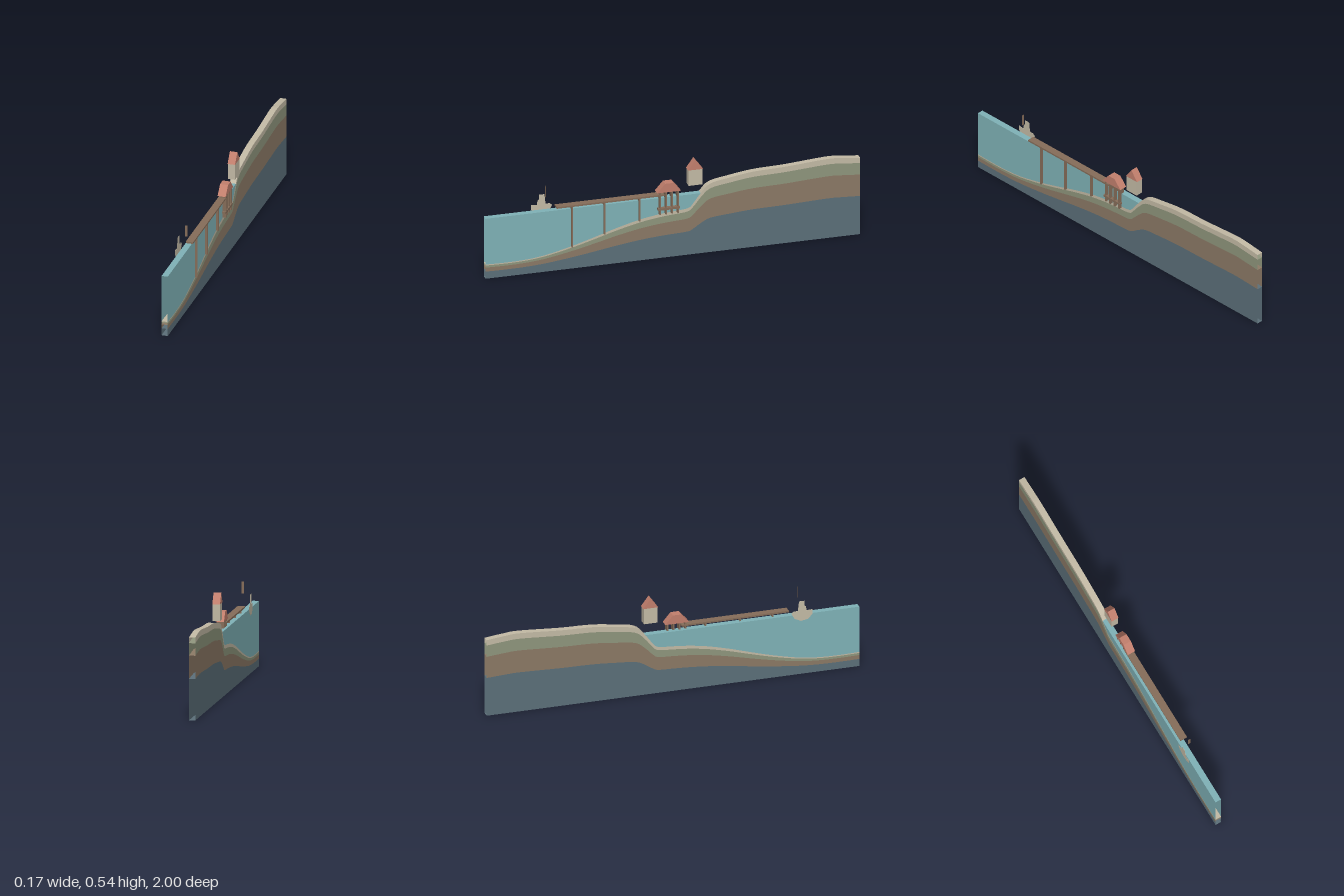
import * as THREE from 'three';

const paint = (name, color) => {
  const m = new THREE.MeshStandardMaterial({ color, side: THREE.DoubleSide });
  m.name = name;
  return m;
};

export function createModel() {
  const bedrock = paint('bedrock blue grey', 0x5b6f79);
  const earth = paint('earth brown', 0x8b7965);
  const green = paint('subsoil green', 0x8e957c);
  const sand = paint('sand cream', 0xc3baa5);
  const water = paint('water teal', 0x7fb2b7);
  const wood = paint('wood brown', 0x866d59);
  const roof = paint('roof terracotta', 0xc27f6d);

  const model = new THREE.Group();
  model.name = 'coastSection';
  const slab = new THREE.Group(); // everything lies along one slightly turned line
  slab.name = 'section';
  slab.rotation.y = 0.0672;
  model.add(slab);

  const add = (name, geometry, material, x = 0, y = 0, z = 0) => {
    const mesh = new THREE.Mesh(geometry, material);
    mesh.name = name;
    mesh.position.set(x, y, z);
    slab.add(mesh);
    return mesh;
  };
  // Box given by its extents
  const block = (name, material, x0, x1, y0, y1, z0, z1) =>
    add(name, new THREE.BoxGeometry(x1 - x0, y1 - y0, z1 - z0), material,
      (x0 + x1) / 2, (y0 + y1) / 2, (z0 + z1) / 2);
  // [z, y] outline extruded across x
  const across = (name, material, outline, x0, x1) => {
    const shape = new THREE.Shape(outline.map(([z, y]) => new THREE.Vector2(-z, y)));
    const geo = new THREE.ExtrudeGeometry(shape, { depth: x1 - x0, bevelEnabled: false });
    geo.rotateY(Math.PI / 2);
    return add(name, geo, material, x0, 0, 0);
  };

  // Ground profile from the sea floor to the hill, as [z, y]
  const ground = new THREE.SplineCurve([
    [1, 0.08], [0.9, 0.078], [0.8, 0.08], [0.7, 0.09], [0.6, 0.111], [0.5, 0.137],
    [0.4, 0.167], [0.3, 0.198], [0.18, 0.229], [0.08, 0.246], [0, 0.254], [-0.08, 0.262],
    [-0.11, 0.288], [-0.15, 0.34], [-0.2, 0.386], [-0.3, 0.406], [-0.43, 0.424],
    [-0.6, 0.43], [-0.82, 0.445], [-0.9, 0.441], [-1, 0.43],
  ].map(([z, y]) => new THREE.Vector2(z, y))).getPoints(80);

  // Open-ended layer: two side walls, a top and optionally a bottom
  const W = 0.0165;
  const layer = (name, material, profile, low, high, bottom) => {
    const pos = [];
    const strip = (xa, fa, xb, fb) => {
      for (let i = 0; i + 1 < profile.length; i++) {
        const p = profile[i], q = profile[i + 1];
        const a = [xa, fa(p.y), p.x], b = [xa, fa(q.y), q.x];
        const c = [xb, fb(q.y), q.x], d = [xb, fb(p.y), p.x];
        pos.push(...a, ...b, ...c, ...a, ...c, ...d);
      }
    };
    strip(W, low, W, high);
    strip(-W, high, -W, low);
    strip(W, high, -W, high);
    if (bottom) strip(-W, low, W, low);
    const geo = new THREE.BufferGeometry();
    geo.setAttribute('position', new THREE.Float32BufferAttribute(pos, 3));
    geo.computeVertexNormals();
    add(name, geo, material);
  };
  const part = (f) => (y) => y * f;
  layer('bedrockLayer', bedrock, ground, part(0), part(0.5), true);
  layer('earthLayer', earth, ground, part(0.5), part(0.78));
  layer('subsoilLayer', green, ground, part(0.78), part(0.93));
  layer('sandLayer', sand, ground, part(0.93), part(1));
  const sea = ground.filter((p) => p.x > -0.1501);
  layer('sea', water, sea, part(1), () => 0.338);

  // Pier: deck on wide posts
  block('pierDeck', wood, -0.006, 0.033, 0.354, 0.363, 0.05, 0.625);
  for (const [z, y] of [[0.54, 0.125], [0.367, 0.175], [0.18, 0.225]])
    block('pierPost', wood, -0.001, 0.03, y, 0.354, z - 0.004, z + 0.004);

  // Stilt hut with hipped roof
  for (const z of [0.072, 0.04, 0.008, -0.024])
    block('hutStilt', wood, -0.002, 0.034, 0.25, 0.378, z - 0.004, z + 0.004);
  block('hutPlatform', wood, -0.004, 0.036, 0.275, 0.287, -0.032, 0.084);
  across('hutRoof', roof, [[0.09, 0.375], [0.047, 0.424], [0.003, 0.424], [-0.038, 0.375]], -0.006, 0.037);

  // Tower
  block('towerWalls', sand, -0.004, 0.034, 0.395, 0.484, -0.152, -0.079);
  across('towerRoof', roof, [[-0.076, 0.482], [-0.115, 0.537], [-0.156, 0.482]], -0.005, 0.035);

  // Boat: thin silhouette beside the sea wall
  across('boat', sand, [
    [0.745, 0.365], [0.715, 0.362], [0.711, 0.386], [0.703, 0.391], [0.703, 0.418],
    [0.674, 0.418], [0.668, 0.364], [0.645, 0.364], [0.633, 0.352], [0.65, 0.322],
    [0.685, 0.306], [0.722, 0.312], [0.745, 0.337],
  ], -0.0255, -0.0245);

  // Flat marker board past the pier head
  add('markerBoard', new THREE.PlaneGeometry(0.013, 0.063), wood, 0.0145, 0.451, 0.68);

  return model;
}
